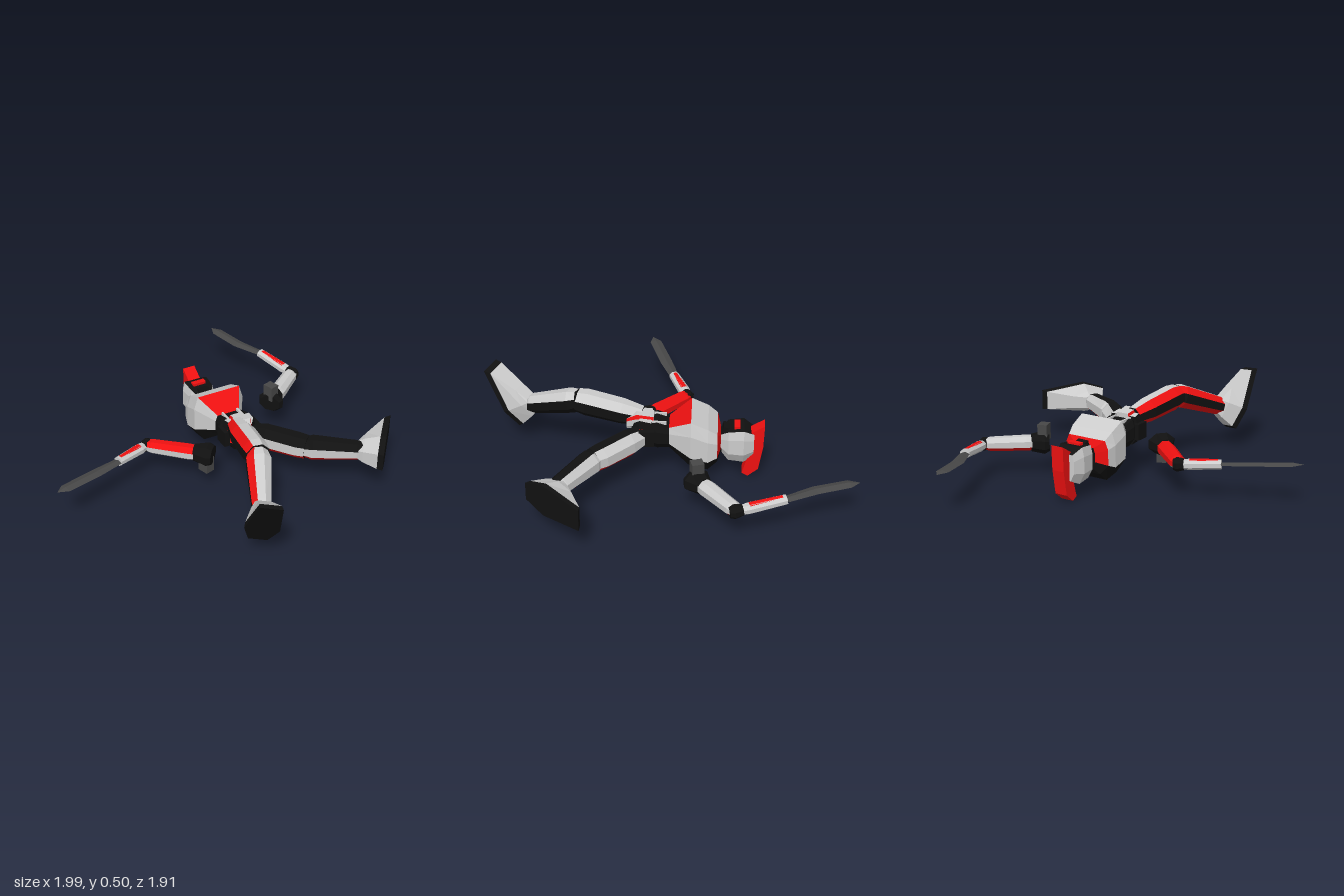
import * as THREE from 'three';

const W = 0xcccccc, K = 0x111111, R = 0xee1111, D = 0x484848;
const mats = {};
const mat = c => (mats[c] ??= new THREE.MeshStandardMaterial({ color: c, flatShading: true, roughness: 0.8 }));
const V = (x, y, z) => new THREE.Vector3(x, y, z);

// Skin closed rings of points; one mesh per colour. paint(segment, face) picks the colour.
function loft(name, rings, paint, capA, capB = capA) {
  const group = new THREE.Group(), byColor = new Map();
  group.name = name;
  const tri = (c, ...pts) => {
    if (!byColor.has(c)) byColor.set(c, []);
    pts.forEach(p => byColor.get(c).push(p.x, p.y, p.z));
  };
  const n = rings[0].length;
  for (let k = 0; k < rings.length - 1; k++) {
    for (let i = 0; i < n; i++) {
      const j = (i + 1) % n, a = rings[k], b = rings[k + 1], c = paint(k, i);
      tri(c, a[i], a[j], b[j]);
      tri(c, a[i], b[j], b[i]);
    }
  }
  const first = rings[0], last = rings[rings.length - 1];
  for (let i = 1; i < n - 1; i++) {
    tri(capA, first[0], first[i + 1], first[i]);
    tri(capB, last[0], last[i], last[i + 1]);
  }
  for (const [c, pos] of byColor) {
    const g = new THREE.BufferGeometry();
    g.setAttribute('position', new THREE.Float32BufferAttribute(pos, 3));
    g.computeVertexNormals();
    const m = new THREE.Mesh(g, mat(c));
    m.name = name;
    group.add(m);
  }
  return group;
}

// Limb: stations [t along a-b, half width, half depth]; face 0 is the side, face 2 faces `up`.
function limb(name, a, b, up, stations, colors, cap, n = 8) {
  const axis = b.clone().sub(a).normalize();
  const side = up.clone().cross(axis).normalize();
  const u = axis.clone().cross(side);
  const grow = n === 8 ? 1 / Math.cos(Math.PI / 8) : 1, shift = n === 8 ? -0.5 : 0;
  const rings = stations.map(([t, w, d]) => Array.from({ length: n }, (_, i) => {
    const q = (i + shift) * 2 * Math.PI / n;
    return a.clone().lerp(b, t).addScaledVector(side, Math.cos(q) * w * grow)
      .addScaledVector(u, Math.sin(q) * d * grow);
  }));
  return loft(name, rings, (k, i) => colors[i % colors.length], cap);
}

// Boot: widens from the ankle to a flat black sole, `front` is the toe direction.
function foot(name, ankle, down, front) {
  const d = down.clone().normalize();
  const f = front.clone().addScaledVector(d, -front.dot(d)).normalize();
  const l = f.clone().cross(d);
  const rings = [
    [-0.03, 0.045, 0.035, 0.05, -0.05],
    [0.01, 0.065, 0.04, 0.13, -0.07],
    [0.10, 0.095, 0.06, 0.285, -0.10],
    [0.135, 0.1, 0.065, 0.31, -0.105],
  ].map(([h, w, tw, toe, heel]) =>
    [[w, 0.03], [tw, toe], [-tw, toe], [-w, 0.03], [-w * 0.55, heel], [w * 0.55, heel]].map(([x, y]) =>
      ankle.clone().addScaledVector(d, h).addScaledVector(l, x).addScaledVector(f, y)));
  return loft(name, rings, k => (k === 2 ? K : W), W, K);
}

// Torso ring at height t: half width w, front depth f, back depth b.
function ring(t, w, f, b) {
  const m1 = b + (f - b) * 0.75, m2 = b + (f - b) * 0.3;
  return [[-0.85 * w, f], [0.85 * w, f], [w, m1], [w, m2], [0.6 * w, b], [-0.6 * w, b], [-w, m2], [-w, m1]]
    .map(([x, z]) => V(x, t, z));
}

function leg(prefix, hip, knee, ankle, front, toe, down, colors, kneeSize) {
  const g = new THREE.Group();
  g.name = prefix + 'Leg';
  g.add(
    limb(prefix + 'Thigh', hip, knee, front, [[0, 0.055, 0.055], [0.3, 0.075, 0.07], [0.85, kneeSize, 0.075], [1, 0.07, 0.065]], colors, K),
    limb(prefix + 'Shin', knee, ankle, front, [[-0.05, 0.055, 0.06], [0.1, 0.072, 0.07], [0.9, 0.055, 0.058], [1.05, 0.045, 0.045]], colors, K),
    foot(prefix + 'Foot', ankle, down, toe));
  return g;
}

function arm(prefix, shoulder, elbow, wrist, blade, colors, socket) {
  const up = V(0, 1, 0), g = new THREE.Group();
  g.name = prefix + 'Arm';
  g.add(
    limb(prefix + 'ShoulderCap', shoulder, elbow, up, [[-0.08, 0.065, 0.05], [0, 0.08, 0.065], [0.22, 0.045, 0.05]], [K], K),
    limb(prefix + 'UpperArm', shoulder, elbow, up, [[0.12, 0.045, 0.04], [0.3, 0.05, 0.045], [0.9, 0.045, 0.04], [1, 0.035, 0.03]], colors, K),
    limb(prefix + 'Elbow', elbow, wrist, up, [[-0.14, 0.025, 0.03], [-0.05, 0.037, 0.04], [0.12, 0.03, 0.032]], [K], K),
    limb(prefix + 'Forearm', elbow, wrist, up, [[0.08, 0.028, 0.026], [0.25, 0.035, 0.03], [1, 0.03, 0.026]], [W], W),
    limb(prefix + 'ForearmStripe', elbow.clone().add(V(0, 0.022, 0)), wrist.clone().add(V(0, 0.022, 0)), up,
      [[0.25, 0.02, 0.011], [0.92, 0.013, 0.009]], [R], R));
  // flat blade through its bend points, ending in a short tip
  const path = [wrist, ...blade];
  const rings = path.map((p, i) => {
    const a = path[Math.min(i + 1, path.length - 1)].clone().sub(path[Math.max(i - 1, 0)]).normalize();
    const s = up.clone().cross(a).normalize(), u = a.clone().cross(s);
    const w = [0.03, 0.039, 0.037, 0.001][i], h = i === 3 ? 0.001 : 0.011;
    return [[w, 0], [0, h], [-w, 0], [0, -h]].map(([x, y]) => p.clone().addScaledVector(s, x).addScaledVector(u, y));
  });
  g.add(loft(prefix + 'Blade', rings, () => D, D));
  const box = new THREE.Mesh(new THREE.BoxGeometry(0.06, 0.1, 0.07), mat(D));
  box.name = prefix + 'ArmSocket';
  box.position.copy(socket);
  g.add(box);
  return g;
}

function block(name, color, w, h, d, x, y, z, rx = 0) {
  const m = new THREE.Mesh(new THREE.BoxGeometry(w, h, d), mat(color));
  m.name = name;
  m.position.set(x, y, z);
  m.rotation.x = rx;
  return m;
}

export function createModel() {
  const model = new THREE.Group();
  model.name = 'fallenFigure';

  // Torso and head, upright in their own frame, then laid on the back
  const torso = new THREE.Group();
  torso.name = 'torso';
  const back = i => i >= 3 && i <= 5;
  torso.add(
    loft('chest', [ring(0.09, 0.08, 0.33, 0.2), ring(0.23, 0.168, 0.415, 0.09), ring(0.33, 0.165, 0.37, 0.07), ring(0.385, 0.15, 0.33, 0.12), ring(0.405, 0.07, 0.28, 0.16)],
      (k, i) => (back(i) ? K : k === 0 && i === 0 ? R : k === 3 ? R : W), K),
    loft('abdomen', [ring(-0.02, 0.075, 0.35, 0.2), ring(0.03, 0.1, 0.36, 0.19), ring(0.12, 0.085, 0.33, 0.19)], () => K, K),
    loft('pelvis', [ring(-0.12, 0.035, 0.33, 0.22), ring(-0.07, 0.09, 0.38, 0.19), ring(0.0, 0.1, 0.37, 0.19)],
      (k, i) => (i === 0 ? W : i === 2 || i === 6 ? R : K), K),
    loft('loinPlate', [ring(-0.15, 0.025, 0.36, 0.29), ring(-0.09, 0.05, 0.4, 0.3), ring(0.01, 0.045, 0.385, 0.3)],
      (k, i) => (i === 1 || i === 7 ? R : W), W),
    loft('neck', [ring(0.37, 0.05, 0.26, 0.15), ring(0.44, 0.05, 0.26, 0.15)], () => K, K),
    loft('head', [ring(0.405, 0.05, 0.28, 0.16), ring(0.45, 0.085, 0.315, 0.11), ring(0.54, 0.09, 0.325, 0.1), ring(0.6, 0.06, 0.29, 0.13)],
      (k, i) => (i === 0 ? K : W), K, W),
    block('visor', R, 0.085, 0.035, 0.03, 0, 0.5, 0.32),
    block('faceGuard', K, 0.07, 0.06, 0.03, 0, 0.445, 0.305, -0.3));
  for (const s of [-1, 1]) {
    torso.add(block('hipJoint', K, 0.07, 0.09, 0.1, s * 0.085, -0.03, 0.28),
      block('beltStrip', W, 0.012, 0.09, 0.02, s * 0.05, 0.04, 0.355));
  }
  const crestShape = new THREE.Shape([[0.35, 0.66], [0.3, 0.58], [0.15, 0.57], [0.02, 0.535], [0, 0.57], [0.05, 0.63], [0.2, 0.655]]
    .map(([z, y]) => new THREE.Vector2(-z, y)));
  const crestGeo = new THREE.ExtrudeGeometry(crestShape, { depth: 0.08, bevelEnabled: false });
  crestGeo.translate(0, 0, -0.04).rotateY(Math.PI / 2);
  const crest = new THREE.Mesh(crestGeo, mat(R));
  crest.name = 'helmetCrest';
  crest.position.x = 0.012;
  torso.add(crest);
  torso.quaternion.setFromRotationMatrix(new THREE.Matrix4().makeBasis(V(0.957, 0, 0.29), V(0.29, 0, -0.957), V(0, 1, 0)));
  torso.position.set(0.15, 0, 0.05);
  model.add(torso);

  // Legs: light front and back, dark sides, red edges on the outer side
  model.add(
    leg('right', V(0.1, 0.35, 0.1), V(-0.08, 0.405, 0.45), V(-0.31, 0.28, 0.7), V(0, 1, 0),
      V(-0.24, 0.85, 0.45), V(-0.65, -0.45, 0.6), [K, W, W, R, K, R, W, K], 0.075),
    leg('left', V(0.19, 0.27, 0.12), V(0.345, 0.25, 0.45), V(0.56, 0.245, 0.7), V(0.83, 0, -0.55),
      V(0.83, 0, -0.55), V(0.55, 0, 0.83), [K, R, W, W, K, K, W, R], 0.072));

  // Detached arms with blades
  model.add(
    arm('right', V(-0.09, 0.21, 0.05), V(-0.285, 0.205, -0.285), V(-0.53, 0.22, -0.262),
      [V(-0.7, 0.232, -0.253), V(-0.94, 0.25, -0.245), V(-1, 0.255, -0.243)],
      [W, R, R, R, R, W, W, W], V(-0.1, 0.15, 0.045)),
    arm('left', V(0.61, 0.2, -0.09), V(0.95, 0.2, -0.225), V(0.95, 0.23, -0.51),
      [V(0.918, 0.237, -0.69), V(0.92, 0.248, -0.89), V(0.925, 0.25, -0.95)],
      [W, W, W, W, W, R, R, R], V(0.61, 0.27, -0.095)));
  return model;
}
